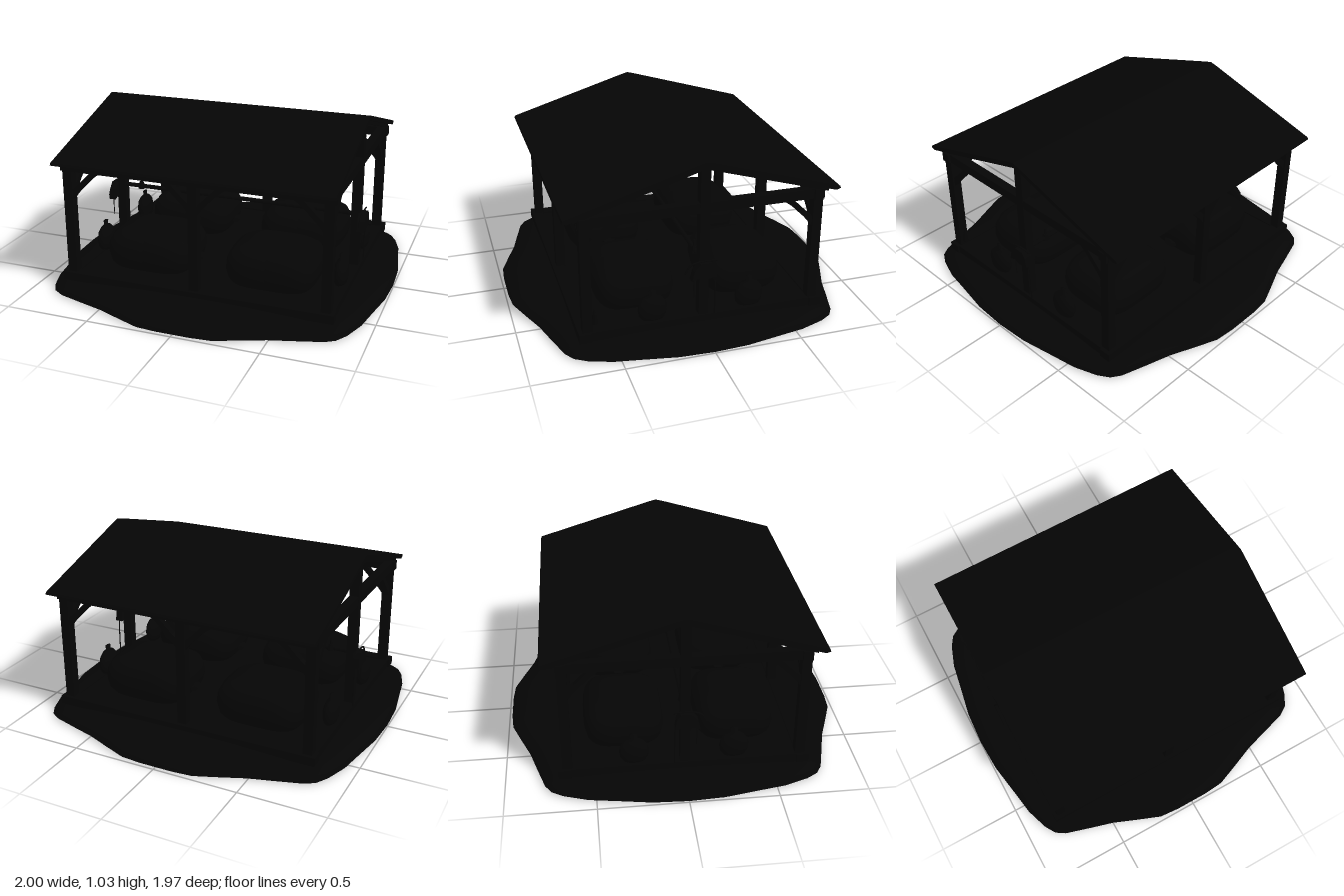
import * as THREE from 'three';

const dark = new THREE.MeshStandardMaterial({ color: 0x050505, side: THREE.DoubleSide });
const darkFlat = new THREE.MeshStandardMaterial({ color: 0x050505, flatShading: true, side: THREE.DoubleSide });

export function createModel() {
  const model = new THREE.Group();

  const add = (name, geometry, x = 0, y = 0, z = 0, material = darkFlat) => {
    const mesh = new THREE.Mesh(geometry, material);
    mesh.name = name;
    mesh.position.set(x, y, z);
    model.add(mesh);
    return mesh;
  };
  const box = (name, w, h, d, x, y, z) => add(name, new THREE.BoxGeometry(w, h, d), x, y, z);

  // Square timber running between two points
  const beam = (name, a, b, w, h) => {
    const from = new THREE.Vector3(...a), to = new THREE.Vector3(...b);
    const mid = from.clone().add(to).multiplyScalar(0.5);
    const mesh = box(name, w, h, from.distanceTo(to), mid.x, mid.y, mid.z);
    mesh.lookAt(to);
    return mesh;
  };
  const tube = (name, points, radius) => add(name, new THREE.TubeGeometry(
    new THREE.CatmullRomCurve3(points.map(p => new THREE.Vector3(...p))), 16, radius, 6), 0, 0, 0, dark);

  // Curved brace, flat in the x-y plane: starts at the post face, ends under the plate
  const braceShape = new THREE.Shape();
  braceShape.moveTo(0, -0.175);
  braceShape.quadraticCurveTo(0.035, -0.125, 0.09, -0.075);
  braceShape.quadraticCurveTo(0.14, -0.02, 0.185, 0);
  braceShape.lineTo(0.12, 0);
  braceShape.lineTo(0.035, -0.085);
  braceShape.lineTo(0, -0.115);
  const braceGeometry = new THREE.ExtrudeGeometry(braceShape, { depth: 0.035, bevelEnabled: false, curveSegments: 5 });
  braceGeometry.translate(0, 0, -0.0175);
  const brace = (name, x, z, turn) => {
    add(name, braceGeometry, x, 0.74, z).rotation.y = turn;
  };

  // Earth mound: one quarter of the outline mirrored, then stacked rings, open below
  const quarter = [[1, 0], [0.99, 0.2], [0.955, 0.4], [0.93, 0.55], [0.885, 0.68], [0.845, 0.745], [0.79, 0.78],
    [0.64, 0.825], [0.5, 0.865], [0.35, 0.925], [0.22, 0.975], [0.1, 0.985], [0, 0.985]];
  const mirrored = quarter.slice(0, -1).reverse().map(([x, z]) => [-x, z]);
  const half = [...quarter, ...mirrored];
  const outline = [...half, ...half.slice(1, -1).reverse().map(([x, z]) => [x, -z])];
  const rings = [[0.99, 0], [1, 0.01], [0.975, 0.03], [0.935, 0.052], [0.87, 0.072], [0.78, 0.085], [0.6, 0.093], [0, 0.095]];
  const positions = [], indices = [], n = outline.length;
  rings.forEach(([s, y]) => outline.forEach(([x, z]) => positions.push(x * s, y, z * s)));
  for (let r = 0; r < rings.length - 1; r++) {
    for (let i = 0; i < n; i++) {
      const j = (i + 1) % n, a = r * n + i, b = r * n + j;
      indices.push(a, a + n, b, b, a + n, b + n);
    }
  }
  const mound = new THREE.BufferGeometry();
  mound.setAttribute('position', new THREE.Float32BufferAttribute(positions, 3));
  mound.setIndex(indices);
  mound.computeVertexNormals();
  add('groundMound', mound, 0, 0, 0, dark);

  // Floor and its sill timbers
  box('floor', 1.5, 0.025, 1.3, 0, 0.0975, 0);
  for (const s of [-1, 1]) {
    box('longSill', 1.62, 0.05, 0.07, 0, 0.093, s * 0.665);
    box('sideSill', 0.07, 0.05, 1.38, s * 0.765, 0.093, 0);
  }

  // Posts, plates and braces
  for (const sz of [-1, 1]) {
    const z = sz * 0.65;
    for (const x of [-0.76, 0, 0.76]) box('post', 0.054, 0.67, 0.054, x, 0.425, z);
    box('wallPlate', 1.6, 0.055, 0.055, 0, 0.762, z);
    for (const sx of [-1, 1]) {
      brace('cornerBrace', sx * 0.735, z, sx > 0 ? Math.PI : 0);
      brace('middleBrace', sx * 0.02, z, sx > 0 ? 0 : Math.PI);
      brace('sideBrace', sx * 0.76, sz * 0.625, sz * Math.PI / 2);
    }
  }
  for (const sx of [-1, 1]) box('gablePost', 0.054, 0.91, 0.054, sx * 0.76, 0.545, 0);
  for (const x of [-0.76, 0, 0.76]) box('tieBeam', 0.052, 0.055, 1.36, x, 0.762, 0);

  // Roof: one bent slab extruded along x, with ridge beam and rafters below
  const section = new THREE.Shape([[-0.765, 0.79], [-0.76, 0.803], [-0.04, 1.02], [0, 1.03], [0.04, 1.02],
    [0.76, 0.803], [0.765, 0.79], [0.74, 0.782], [0, 1.003], [-0.74, 0.782]].map(p => new THREE.Vector2(...p)));
  const roof = new THREE.ExtrudeGeometry(section, { depth: 1.62, bevelEnabled: false });
  roof.translate(0, 0, -0.81).rotateY(Math.PI / 2);
  add('roof', roof);
  box('ridgeBeam', 1.58, 0.04, 0.045, 0, 0.985, 0);
  for (let i = 0; i < 7; i++) {
    const x = -0.765 + i * 0.255;
    for (const s of [-1, 1]) beam('rafter', [x, 0.998, 0], [x, 0.785, s * 0.71], 0.04, 0.03);
  }

  // Four plump bales: rounded square in plan, domed on top
  const baleProfile = [[0, 0], [0.86, 0], [0.95, 0.03], [1, 0.085], [0.98, 0.14], [0.9, 0.185],
    [0.72, 0.215], [0.45, 0.23], [0.15, 0.242], [0, 0.245]].map(p => new THREE.Vector2(...p));
  for (const sx of [-1, 1]) {
    for (const sz of [-1, 1]) {
      const geometry = new THREE.LatheGeometry(baleProfile, 40);
      const p = geometry.attributes.position;
      for (let i = 0; i < p.count; i++) {
        const x = p.getX(i), z = p.getZ(i), radius = Math.hypot(x, z);
        const norm = Math.pow(x ** 4 + z ** 4, 0.25);
        const swell = norm > 1e-6 ? radius / norm : 1;
        p.setXYZ(i, x * swell * 0.268, p.getY(i), z * swell * 0.23);
      }
      geometry.computeVertexNormals();
      add('bale', geometry, sx * 0.372, 0.108, sz * 0.32, dark);
      const clump = add('looseClump', new THREE.DodecahedronGeometry(0.05), sx * 0.115, 0.165, sz * 0.32);
      clump.scale.set(0.9, 0.5, 1);
    }
  }

  // Tied sacks along both sides
  const sackProfile = [[0, 0], [0.04, 0], [0.055, 0.03], [0.06, 0.07], [0.054, 0.11], [0.035, 0.14], [0.014, 0.155], [0.016, 0.18], [0, 0.185]]
    .map(p => new THREE.Vector2(...p));
  for (const x of [-0.745, 0.745]) {
    for (const z of [-0.28, 0.28]) {
      add('sack', new THREE.LatheGeometry(sackProfile, 12), x, 0.11, z, dark).scale.set(0.72, 1, 1.4);
    }
  }

  // Rail between the gable posts, with small pegs
  const rail = add('rail', new THREE.CylinderGeometry(0.013, 0.013, 1.62, 10), 0, 0.435, 0, dark);
  rail.rotation.z = Math.PI / 2;
  for (const x of [-0.63, 0.62]) {
    add('railPegBase', new THREE.CylinderGeometry(0.015, 0.024, 0.04, 8), x, 0.44, 0);
    add('railPegTip', new THREE.CylinderGeometry(0.006, 0.01, 0.04, 8), x, 0.475, 0);
  }

  // Hanging tack at the ends of the rail
  const padShape = new THREE.Shape([[-0.08, 0.35], [-0.065, 0.41], [-0.03, 0.45], [0.03, 0.45], [0.05, 0.42], [0.06, 0.36],
    [0.03, 0.36], [0, 0.35], [-0.04, 0.365]].map(p => new THREE.Vector2(...p)));
  const padGeometry = new THREE.ExtrudeGeometry(padShape, { depth: 0.045, bevelEnabled: false });
  padGeometry.translate(0, 0, -0.0225).rotateY(Math.PI / 2);
  for (const s of [-1, 1]) {
    const x = s * 0.8;
    add('tackPad', padGeometry, x, 0, 0);
    tube('tackArch', [[x, 0.39, 0.115], [x, 0.44, 0.08], [x, 0.455, 0.01], [x, 0.452, -0.07]], 0.005);
    tube('frontStrap', [[x, 0.4, 0.05], [x, 0.33, 0.062], [x, 0.24, 0.06]], 0.003);
    tube('backStrap', [[x, 0.43, -0.03], [x, 0.36, -0.055], [x, 0.24, -0.06], [x, 0.12, -0.06]], 0.004);
  }

  // Small flask hanging by a front corner post
  add('flask', new THREE.CylinderGeometry(0.012, 0.017, 0.06, 8), 0.76, 0.18, 0.605);
  add('flaskNeck', new THREE.CylinderGeometry(0.004, 0.011, 0.03, 8), 0.76, 0.225, 0.605);

  return model;
}
